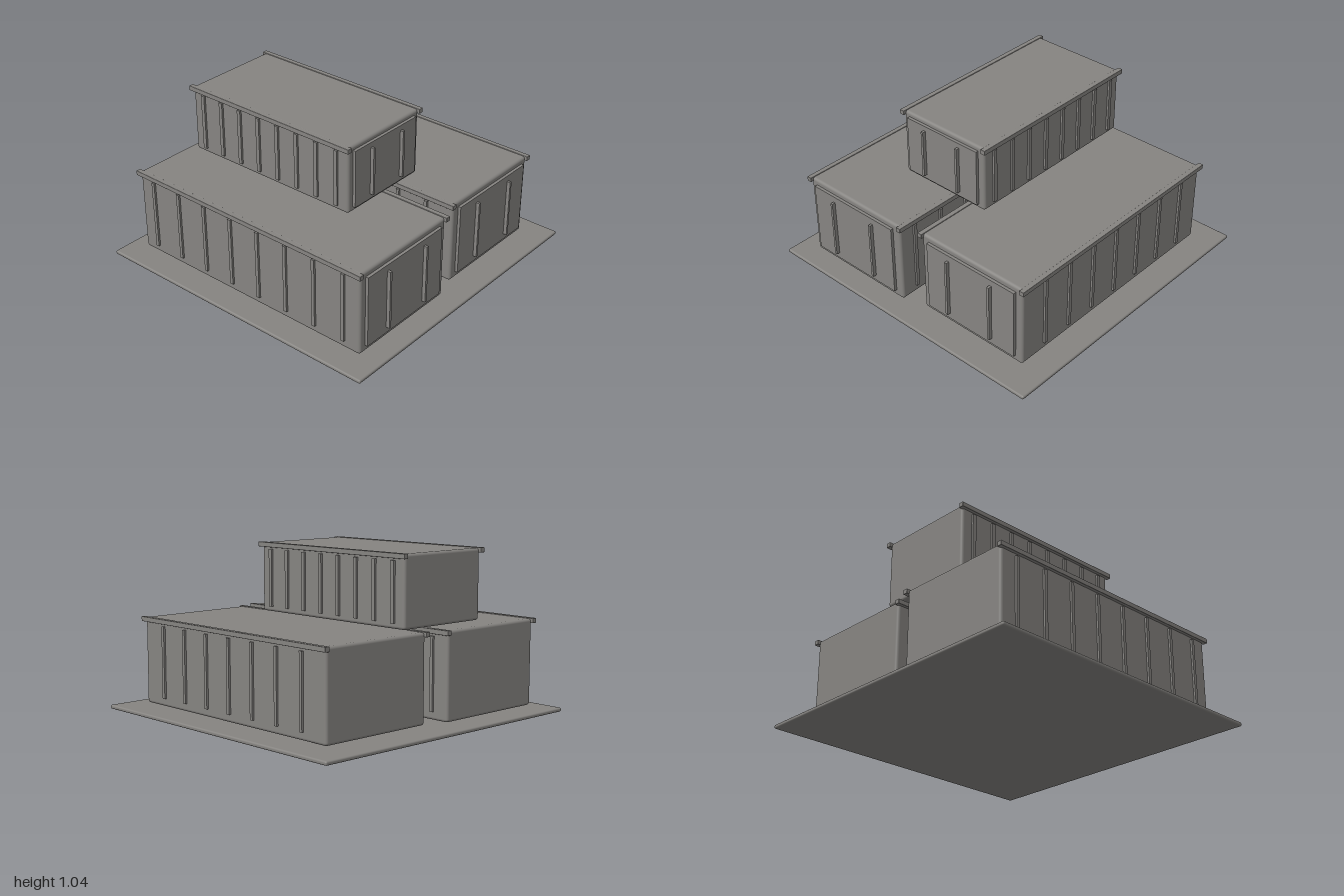
import * as THREE from 'three';
import { RoundedBoxGeometry } from 'three/addons/geometries/RoundedBoxGeometry.js';

const grey = new THREE.MeshStandardMaterial({ color: 0x868481 });
grey.name = 'warmGrey';

// Box given by its limits along each axis; a radius rounds its edges.
function box(name, [x0, x1], [y0, y1], [z0, z1], radius = 0) {
  const size = [x1 - x0, y1 - y0, z1 - z0];
  const geometry = radius
    ? new RoundedBoxGeometry(...size, 3, radius)
    : new THREE.BoxGeometry(...size);
  const mesh = new THREE.Mesh(geometry, grey);
  mesh.name = name;
  mesh.position.set((x0 + x1) / 2, (y0 + y1) / 2, (z0 + z1) / 2);
  return mesh;
}

// One shipping container with ribbed sides, top rails and a door on its +x end.
function container({ name, x, y, z, ribs, pitch, ribWidth, ribY, doorY, doorZ, barY, barZ }) {
  const group = new THREE.Group();
  group.name = name;
  const [x0, x1] = x, [z0, z1] = z, top = y[1];
  group.add(box('body', x, [y[0], top - 0.003], z, 0.018));

  for (const [edge, side] of [[z0, -1], [z1, 1]]) {
    // top rail, overhanging the body at both ends
    const railZ = [edge - 0.016, edge + 0.016].map((v) => v + side * 0.005);
    group.add(box('topRail', [x0 - 0.017, x1 + 0.017], [top - 0.03, top], railZ, 0.003));
    // vertical ribs
    for (let i = 0; i < ribs; i++) {
      const c = (x0 + x1) / 2 + (i - (ribs - 1) / 2) * pitch;
      group.add(box('sideRib', [c - ribWidth / 2, c + ribWidth / 2], ribY,
        [edge - 0.013, edge + 0.013]));
    }
  }

  // door panel and its two locking bars
  group.add(box('doorPanel', [x1 - 0.01, x1 + 0.019], doorY, doorZ));
  for (const c of barZ) {
    group.add(box('lockingBar', [x1 + 0.015, x1 + 0.042], barY, [c - 0.008, c + 0.008]));
  }
  return group;
}

export function createModel() {
  const model = new THREE.Group();
  model.name = 'stackedContainers';

  model.add(box('groundSlab', [-1, 1], [0, 0.025], [-1, 1], 0.01));

  const lower = { y: [0.045, 0.59], ribWidth: 0.022, ribY: [0.095, 0.545],
    doorY: [0.09, 0.55], barY: [0.13, 0.51] };

  model.add(container({ ...lower, name: 'frontContainer',
    x: [-0.872, 0.872], z: [0.075, 0.847], ribs: 8, pitch: 0.2155,
    doorZ: [0.13, 0.8], barZ: [0.295, 0.627] }));

  model.add(container({ ...lower, name: 'backContainer',
    x: [-0.825, 0.825], z: [-0.838, -0.064], ribs: 7, pitch: 0.211,
    doorZ: [-0.79, -0.118], barZ: [-0.616, -0.287] }));

  model.add(container({ name: 'upperContainer',
    x: [-0.79, 0.446], y: [0.607, 1.043], z: [-0.204, 0.442],
    ribs: 8, pitch: 0.152, ribWidth: 0.025, ribY: [0.64, 1.0],
    doorY: [0.64, 1.01], doorZ: [-0.16, 0.4], barY: [0.672, 0.978], barZ: [-0.016, 0.257] }));

  return model;
}
